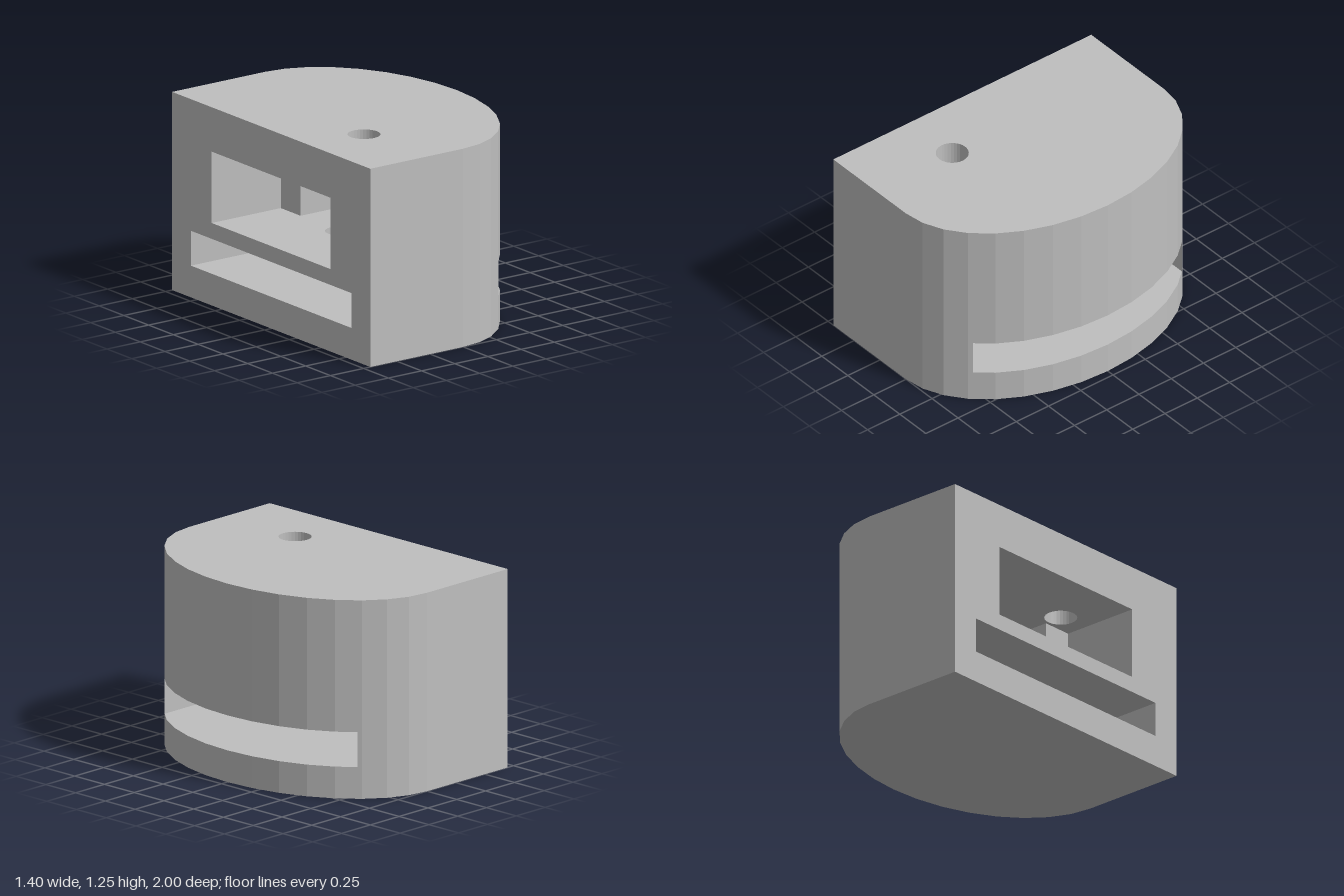
import * as THREE from 'three';

const BACK = -0.7, RX = 0.7, SLOT = 0.81, SEGMENTS = 16;

// Plan coordinates are (x, -z); layers are extruded upward along y.
const curve = Array.from({ length: SEGMENTS + 1 }, (_, i) => {
  const a = -Math.PI / 2 + (i / SEGMENTS) * Math.PI;
  return new THREE.Vector2(RX * Math.cos(a), Math.sin(a));
});

const pts = (list) => list.map(([x, y]) => new THREE.Vector2(x, y));

function roundHole(x, z, r) {
  return new THREE.Path().absarc(x, -z, r, 0, Math.PI * 2, true);
}

// Full D-shaped plan, with optional points cut into the straight back edge
function plan(notch = []) {
  return new THREE.Shape([...pts([[BACK, -1]]), ...curve, ...pts([[BACK, 1], ...notch])]);
}

// Side strip left standing beside the through slot
function sidePlan(side) {
  const [a, b] = [curve[3], curve[4]];
  const t = (SLOT + a.y) / (a.y - b.y) * -1;
  const xCut = a.x + (b.x - a.x) * Math.abs(t);
  const outline = [[BACK, -1], ...curve.slice(0, 4).map((p) => [p.x, p.y]), [xCut, -SLOT], [BACK, -SLOT]];
  return new THREE.Shape(pts(outline.map(([x, y]) => [x, y * side])));
}

export function createModel() {
  const group = new THREE.Group();
  const grey = new THREE.MeshStandardMaterial({ color: 0xbfbfbf });
  grey.name = 'grey';

  function layer(name, shape, y0, y1) {
    const geo = new THREE.ExtrudeGeometry(shape, { depth: y1 - y0, bevelEnabled: false, curveSegments: 16 });
    geo.rotateX(-Math.PI / 2).translate(0, y0, 0);
    const mesh = new THREE.Mesh(geo, grey);
    mesh.name = name;
    group.add(mesh);
  }

  layer('base', plan(), 0, 0.2);

  // Walls at both ends of the slot running from back to curved side
  layer('slotWallFront', sidePlan(1), 0.2, 0.42);
  layer('slotWallRear', sidePlan(-1), 0.2, 0.42);

  // Floor of the chamber, with a small round opening into the slot
  const floor = plan();
  floor.holes.push(roundHole(-0.17, 0, 0.1));
  layer('chamberFloor', floor, 0.42, 0.52);

  // Stepped chamber open at the back
  layer('chamberWalls', plan([
    [BACK, 0.6], [-0.18, 0.6], [-0.18, 0.4], [0.2, 0.4],
    [0.2, -0.4], [-0.18, -0.4], [-0.18, -0.6], [BACK, -0.6],
  ]), 0.52, 0.97);

  // Roof with a round hole down into the chamber
  const roof = plan();
  roof.holes.push(roundHole(-0.3, 0.4, 0.1));
  layer('roof', roof, 0.97, 1.25);

  return group;
}
